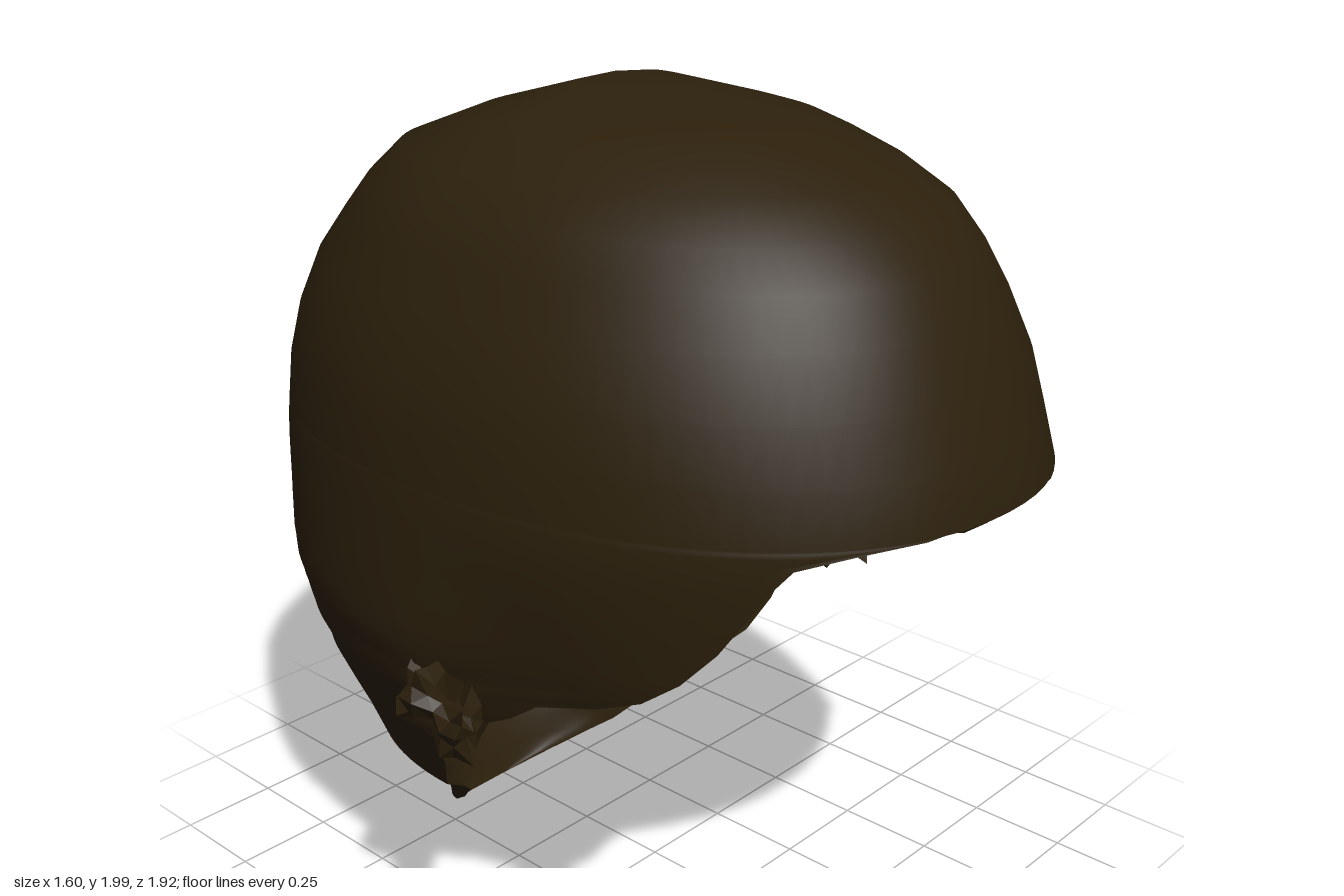
import * as THREE from 'three';
import { mergeVertices } from 'three/addons/utils/BufferGeometryUtils.js';

const { smoothstep, clamp, lerp } = THREE.MathUtils;

// Profiles as [height, value], from the crown down
const WIDTH = [[2, 0], [1.985, 0.15], [1.93, 0.34], [1.86, 0.46], [1.78, 0.55], [1.6, 0.64], [1.48, 0.69], [1.35, 0.71], [1.2, 0.725],
  [0.9, 0.745], [0.75, 0.71], [0.6, 0.64], [0.4, 0.55], [0.28, 0.4], [0.2, 0.32], [0.13, 0.28], [0.07, 0.24], [0.03, 0.14], [0.01, 0.01]];
const FRONT = [[2, -0.12], [1.985, 0.07], [1.95, 0.35], [1.9, 0.49], [1.83, 0.64], [1.77, 0.72], [1.67, 0.8], [1.5, 0.88],
  [1.25, 0.96], [0.9, 0.92], [0.6, 0.85]];
const BACK = [[2, -0.12], [1.93, -0.38], [1.85, -0.6], [1.62, -0.82], [1.38, -0.93], [1.2, -0.96], [0.9, -0.95],
  [0.62, -0.89], [0.35, -0.72], [0.13, -0.62], [0.01, -0.58]];
const RIM = [[1.25, 0.96], [1.245, 0.92], [1.235, 0.85], [1.21, 0.77], [1.17, 0.74], [1.1, 0.7], [1.02, 0.65], [0.94, 0.58], [0.88, 0.5],
  [0.84, 0.4], [0.8, 0.25], [0.75, 0.18], [0.69, 0.06], [0.65, -0.08], [0.5, -0.11], [0.4, -0.16], [0.25, -0.3], [0.13, -0.42], [0.01, -0.58]];
const ROWS = [2, 1.985, 1.95, 1.93, 1.9, 1.85, 1.78, 1.7, 1.6, 1.48, 1.36, 1.25, 1.245, 1.235, 1.21, 1.16, 1.09, 1.02, 0.94,
  0.88, 0.84, 0.8, 0.75, 0.69, 0.65, 0.57, 0.5, 0.4, 0.33, 0.25, 0.2, 0.13, 0.07, 0.03, 0.01];

function sample(profile, y) {
  if (y >= profile[0][0]) return profile[0][1];
  for (let i = 1; i < profile.length; i++) {
    const [y1, v1] = profile[i], [y0, v0] = profile[i - 1];
    if (y >= y1) return v0 + (v1 - v0) * (y0 - y) / (y0 - y1);
  }
  return profile[profile.length - 1][1];
}

// Open cap: full oval rings, cut away at the face opening below the fringe
function capGeometry() {
  const N = 96, ROUND = 2.15, pos = [], index = [];
  ROWS.forEach((y, r) => {
    const w = sample(WIDTH, y), f = sample(FRONT, y), b = sample(BACK, y), rim = sample(RIM, y);
    let c = lerp(-0.05, -0.12, Math.max(0, (y - 1.25) / 0.75));
    let start = 0;
    if (y < 1.25) {
      c = Math.min(c, rim);
      start = Math.acos(clamp((rim - c) / (f - c), 0, 1));
    }
    for (let j = 0; j <= N; j++) {
      const a = start + (2 * Math.PI - 2 * start) * j / N, k = Math.cos(a);
      const z = c + (k > 0 ? f - c : c - b) * k;
      // the locks in front of the ears tuck inwards
      const tuck = 1 - 0.08 * smoothstep(z, -0.05, 0.25) * (1 - smoothstep(y, 0.8, 1.2));
      const x = w * tuck * Math.sign(Math.sin(a)) * Math.pow(Math.max(0, 1 - Math.abs(k) ** ROUND), 1 / ROUND);
      pos.push(x, y, z);
      if (r < ROWS.length - 1 && j < N) {
        const p = r * (N + 1) + j, q = p + N + 1;
        if (r > 0) index.push(p, q, p + 1);
        index.push(p + 1, q, q + 1);
      }
    }
  });
  const g = new THREE.BufferGeometry();
  g.setAttribute('position', new THREE.Float32BufferAttribute(pos, 3));
  g.setIndex(index);
  const merged = mergeVertices(g, 1e-4);
  merged.computeVertexNormals();
  return merged;
}

// Crumpled tuft beside the ear, mirrored by side
function tuftGeometry(side) {
  let seed = 7;
  const rand = () => (seed = (seed * 16807) % 2147483647) / 2147483647;
  for (let i = 0; i < 5; i++) rand();
  const g = mergeVertices(new THREE.IcosahedronGeometry(1, 2).deleteAttribute('uv').deleteAttribute('normal'), 1e-3);
  const p = g.attributes.position;
  for (let i = 0; i < p.count; i++) {
    const s = 0.4 + 0.7 * rand(), y = p.getY(i) * s;
    p.setXYZ(i, side * (0.715 + p.getX(i) * s * 0.08 + y * 0.03), 0.745 + y * 0.14, 0.04 + p.getZ(i) * s * 0.125);
  }
  if (side < 0) g.index.array.reverse();
  const flat = g.toNonIndexed();
  flat.computeVertexNormals();
  return flat;
}

export function createModel() {
  const group = new THREE.Group();
  group.name = 'hair';
  const brown = new THREE.MeshStandardMaterial({ color: 0x2c200c, side: THREE.DoubleSide });
  brown.name = 'dark brown';
  const add = (name, geometry) => {
    const mesh = new THREE.Mesh(geometry, brown);
    mesh.name = name;
    group.add(mesh);
  };
  add('hairCap', capGeometry());
  add('leftTuft', tuftGeometry(1));
  add('rightTuft', tuftGeometry(-1));
  return group;
}
